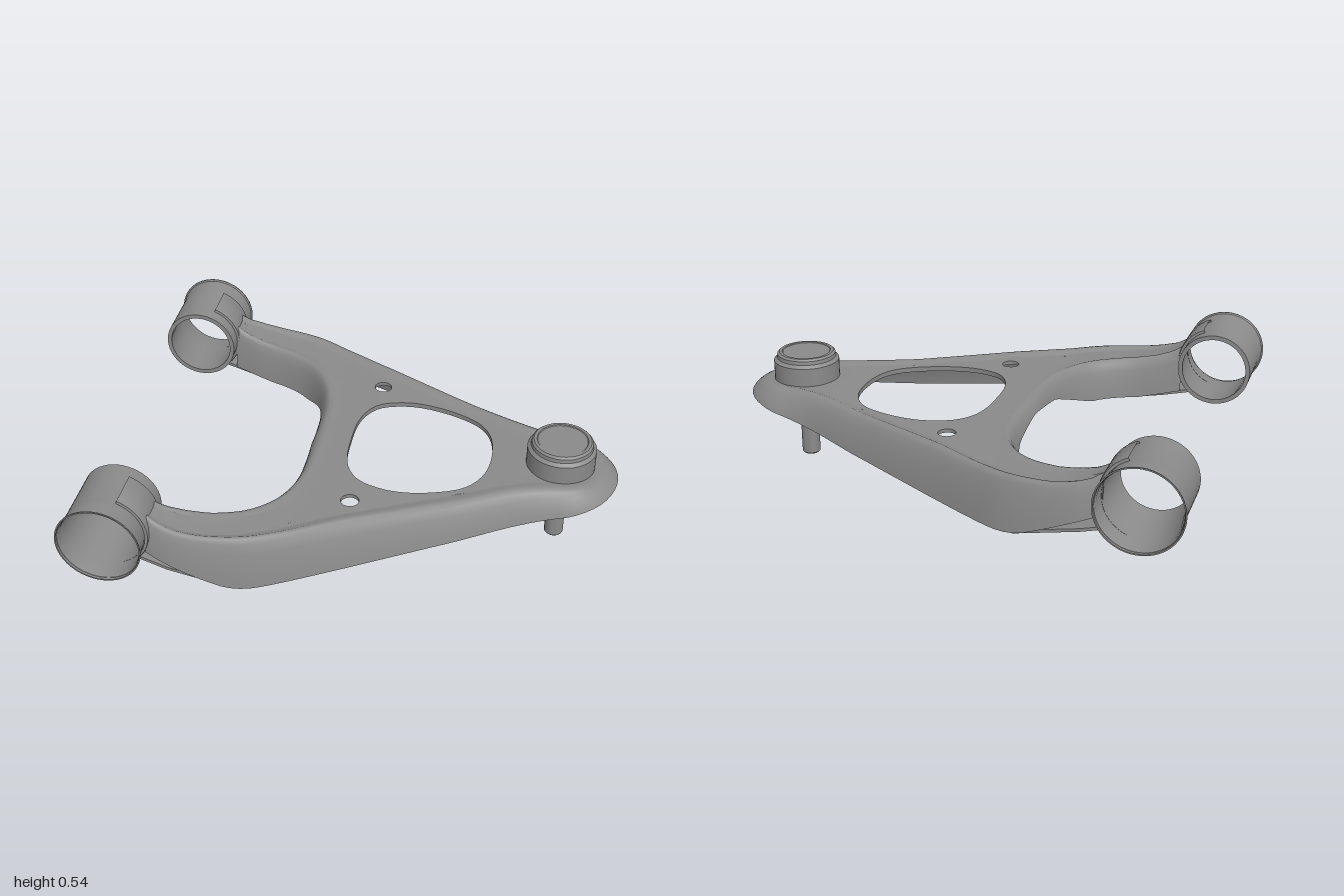
import * as THREE from 'three';
import { toCreasedNormals } from 'three/addons/utils/BufferGeometryUtils.js';

const steel = new THREE.MeshStandardMaterial({ color: 0x8a8a8a, side: THREE.DoubleSide });
steel.name = 'grey steel';

// piecewise linear lookup in a list of [input, output]
function lookup(table, v) {
  if (v <= table[0][0]) return table[0][1];
  for (let i = 1; i < table.length; i++) {
    const [a, fa] = table[i - 1], [b, fb] = table[i];
    if (v <= b) return fa + (fb - fa) * (v - a) / (b - a);
  }
  return table[table.length - 1][1];
}

// heights and flange widths of the pressed arm
const topY = (x) => lookup([[-0.7, 0.44], [-0.65, 0.41], [-0.58, 0.388], [-0.5, 0.374], [-0.4, 0.366], [-0.2, 0.356],
  [0, 0.357], [0.2, 0.35], [0.4, 0.344], [0.6, 0.35], [0.85, 0.346], [0.95, 0.336]], x);
const outerLow = (x) => lookup([[-0.7, 0.3], [-0.6, 0.265], [-0.5, 0.225], [-0.4, 0.185], [-0.33, 0.176], [0, 0.19],
  [0.4, 0.212], [0.65, 0.235], [0.8, 0.258], [0.9, 0.28], [1, 0.297]], x);
const innerLow = (x, z) => Math.max(lookup([[0, 0.31], [0.25, 0.28], [0.45, 0.205], [0.6, 0.22]], Math.abs(z)),
  lookup([[-0.7, 0.25], [-0.4, 0.19]], x));
const outerWidth = (x) => lookup([[-0.7, 0.06], [-0.4, 0.085], [0, 0.115]], x);
const innerWidth = (x) => lookup([[-0.7, 0.045], [-0.4, 0.07]], x);

// flange sections: share of width, share of height
const outerProfile = [[0, 0], [0.06, 0.22], [0.15, 0.47], [0.28, 0.75], [0.42, 0.97], [0.55, 1.06], [0.7, 1.07],
  [0.85, 1.02], [1, 1]];
const innerProfile = [[0, 0], [0.06, 0.22], [0.15, 0.47], [0.28, 0.73], [0.43, 0.92], [0.6, 1.02], [0.8, 1.03], [1, 1]];

// half outlines (x, z), mirrored to the other side
const outerHalf = [[-0.695, 0.742], [-0.62, 0.762], [-0.53, 0.768], [-0.4, 0.758], [-0.3, 0.735], [-0.2, 0.692],
  [0, 0.592], [0.4, 0.39], [0.64, 0.273], [0.75, 0.24], [0.85, 0.22], [0.93, 0.17], [0.98, 0.095]];
const innerHalf = [[-0.695, 0.585], [-0.6, 0.56], [-0.47, 0.525], [-0.36, 0.465], [-0.285, 0.37], [-0.245, 0.25],
  [-0.232, 0.11]];
const holeHalf = [[-0.06, 0.12], [-0.035, 0.2], [0.01, 0.255], [0.08, 0.285], [0.17, 0.296], [0.3, 0.272],
  [0.42, 0.215], [0.48, 0.13]];

function mirrored(half, mid) {
  const back = half.map(([x, z]) => [x, -z]).reverse();
  return [...half, mid, ...back].map(([x, z]) => new THREE.Vector3(x, 0, z));
}

function buildGeometry(pos, index) {
  const g = new THREE.BufferGeometry();
  g.setAttribute('position', new THREE.Float32BufferAttribute(pos, 3));
  g.setIndex(index);
  g.computeVertexNormals();
  return g;
}

function makeArmGeometry(holes) {
  const pos = [], index = [];
  const flatX = (i) => pos[3 * i], flatZ = (i) => pos[3 * i + 2];

  // every triangle is turned to face upwards
  function addFace(a, b, c) {
    const up = (flatZ(b) - flatZ(a)) * (flatX(c) - flatX(a)) - (flatX(b) - flatX(a)) * (flatZ(c) - flatZ(a));
    if (up >= 0) index.push(a, b, c); else index.push(a, c, b);
  }

  // rolled flange along one outline; returns the ids of its upper edge
  function flange(points, count, sign, profile, width, low) {
    const curve = new THREE.CatmullRomCurve3(points);
    const start = pos.length / 3, rows = profile.length, rim = [];
    for (let i = 0; i <= count; i++) {
      const p = curve.getPointAt(i / count), t = curve.getTangentAt(i / count);
      if (i === 0 || i === count) t.set(i ? -1 : 1, 0, 0);
      for (const [o, h] of profile) {
        const w = o * width(p.x) * sign;
        const x = p.x + t.z * w, z = p.z - t.x * w;
        const lo = low(p.x, p.z);
        pos.push(x, lo + (topY(x) - lo) * h, z);
      }
      rim.push(start + i * rows + rows - 1);
    }
    for (let i = 0; i < count; i++) for (let j = 0; j < rows - 1; j++) {
      const a = start + i * rows + j, b = a + rows;
      addFace(a, b, b + 1);
      addFace(a, b + 1, a + 1);
    }
    return rim;
  }

  const outer = flange(mirrored(outerHalf, [1, 0]), 110, 1, outerProfile, outerWidth, outerLow);
  const inner = flange(mirrored(innerHalf, [-0.23, 0]), 70, -1, innerProfile, innerWidth, innerLow);

  // web between the flanges, split finely so that it follows the height rule
  const midpoints = new Map();
  function midpoint(a, b) {
    const key = Math.min(a, b) + '_' + Math.max(a, b);
    if (!midpoints.has(key)) {
      const x = (flatX(a) + flatX(b)) / 2, z = (flatZ(a) + flatZ(b)) / 2;
      midpoints.set(key, pos.length / 3);
      pos.push(x, topY(x), z);
    }
    return midpoints.get(key);
  }
  function addWeb(a, b, c) {
    const length = (p, q) => Math.hypot(flatX(p) - flatX(q), flatZ(p) - flatZ(q));
    const ab = length(a, b), bc = length(b, c), ca = length(c, a);
    const longest = Math.max(ab, bc, ca);
    if (longest < 0.06) return addFace(a, b, c);
    if (longest === bc) [a, b, c] = [b, c, a];
    else if (longest === ca) [a, b, c] = [c, a, b];
    const m = midpoint(a, b);
    addWeb(a, m, c);
    addWeb(m, b, c);
  }

  const ids = [...outer, ...inner.reverse()];
  const contour = ids.map((i) => new THREE.Vector2(flatX(i), flatZ(i)));
  for (const hole of holes) for (const p of hole) {
    ids.push(pos.length / 3);
    pos.push(p.x, topY(p.x), p.y);
  }
  for (const f of THREE.ShapeUtils.triangulateShape(contour, holes)) addWeb(ids[f[0]], ids[f[1]], ids[f[2]]);
  return buildGeometry(pos, index);
}

// short sheet edge hanging from a hole
function makeRimGeometry(hole, depth) {
  const pos = [], index = [], n = hole.length;
  hole.forEach((p, i) => {
    pos.push(p.x, topY(p.x), p.y, p.x, topY(p.x) - depth, p.y);
    const a = 2 * i, b = 2 * ((i + 1) % n);
    index.push(a, b, b + 1, a, b + 1, a + 1);
  });
  return buildGeometry(pos, index);
}

function lathe(points, segments = 48, start = 0, sweep = Math.PI * 2) {
  const profile = points.map(([r, y]) => new THREE.Vector2(r, y));
  return toCreasedNormals(new THREE.LatheGeometry(profile, segments, start, sweep), 0.6);
}

// thin plate with a slot, joining sleeve and arm from below
function makeStrapGeometry() {
  const shape = new THREE.Shape([[-0.17, -0.06], [-0.05, -0.08], [0.2, -0.085], [0.2, 0.085], [-0.05, 0.08], [-0.17, 0.06]]
    .map(([x, y]) => new THREE.Vector2(x, y)));
  shape.holes.push(new THREE.Path().absellipse(0.03, 0, 0.045, 0.018, 0, Math.PI * 2));
  return new THREE.ExtrudeGeometry(shape, { depth: 0.012, bevelEnabled: false }).rotateX(Math.PI / 2);
}

export function createModel() {
  const model = new THREE.Group();
  model.name = 'controlArm';
  const add = (name, geometry, parent = model) => {
    const mesh = new THREE.Mesh(geometry, steel);
    mesh.name = name;
    parent.add(mesh);
    return mesh;
  };

  // pressed arm with one large opening and two small holes
  const loop = [new THREE.Vector3(-0.066, 0, 0), ...mirrored(holeHalf, [0.5, 0])];
  const opening = new THREE.CatmullRomCurve3(loop, true)
    .getPoints(64).slice(0, -1).map((p) => new THREE.Vector2(p.x, p.z));
  const smallHole = (z) => Array.from({ length: 24 }, (_, i) => {
    const a = i / 24 * Math.PI * 2;
    return new THREE.Vector2(0.035 * Math.cos(a), z + 0.035 * Math.sin(a));
  });
  const holes = [opening, smallHole(0.385), smallHole(-0.385)];
  add('armShell', makeArmGeometry(holes));
  holes.forEach((h, i) => add(i ? 'smallHoleRim' : 'openingRim', makeRimGeometry(h, i ? 0.015 : 0.02)));

  // bushing sleeves, flared at their outer ends, with weld tabs
  const degree = Math.PI / 180;
  for (const s of [1, -1]) {
    const bushing = new THREE.Group();
    bushing.name = s > 0 ? 'frontBushing' : 'rearBushing';
    bushing.position.set(-0.84, 0.38, s * 0.685);
    bushing.rotation.x = s * Math.PI / 2;
    model.add(bushing);
    add('sleeve', lathe([[0.132, -0.147], [0.15, -0.147], [0.15, 0.125], [0.154, 0.138], [0.161, 0.143],
      [0.161, 0.148], [0.156, 0.148], [0.132, -0.147]]), bushing);
    add('weldTab', lathe([[0.148, -0.09], [0.16, -0.088], [0.163, -0.08], [0.163, 0.05], [0.16, 0.058],
      [0.148, 0.06]], 24, 22 * degree, 136 * degree), bushing);

    // lower strap joining the sleeve and the arm
    const strap = add('lowerStrap', makeStrapGeometry());
    strap.position.set(-0.57, 0.225, s * 0.66);
    strap.rotation.z = -0.19;
  }

  // ball joint: cap above, collar below, stud pointing down
  const joint = new THREE.Group();
  joint.name = 'ballJoint';
  joint.position.x = 0.77;
  model.add(joint);
  add('cap', lathe([[0.135, 0.33], [0.135, 0.425], [0.122, 0.437], [0.12, 0.452], [0.112, 0.46],
    [0.1, 0.46], [0.097, 0.457], [0, 0.457]]), joint);
  add('collar', lathe([[0, 0.208], [0.118, 0.208], [0.128, 0.218], [0.14, 0.232], [0.14, 0.34]]), joint);
  add('stud', lathe([[0, 0], [0.033, 0], [0.038, 0.006], [0.038, 0.215]], 32), joint);

  return model;
}
